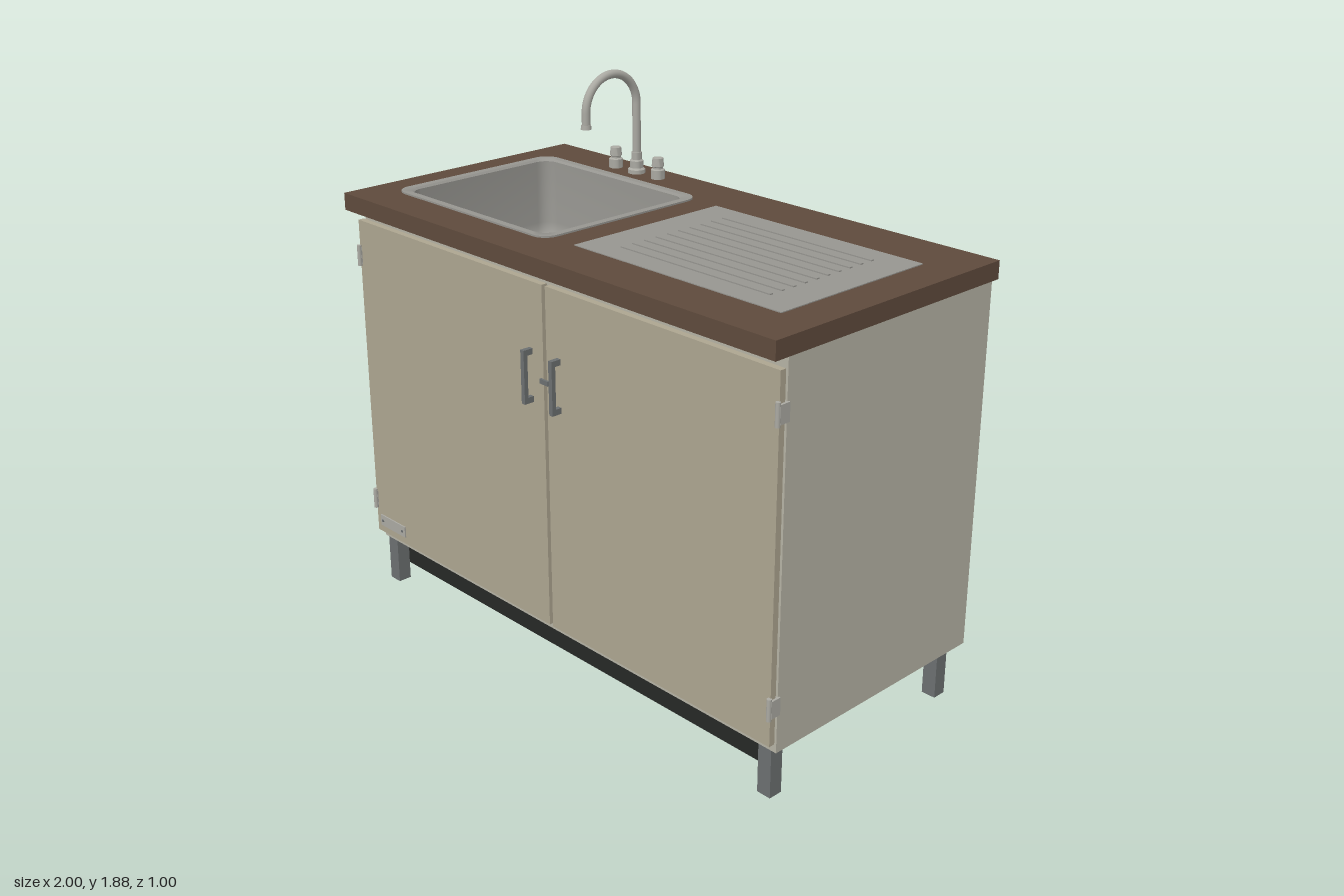
import * as THREE from 'three';
import { toCreasedNormals } from 'three/addons/utils/BufferGeometryUtils.js';

const mat = (color, side = THREE.FrontSide) => new THREE.MeshStandardMaterial({ color, side });

export function createModel() {
  const model = new THREE.Group();
  const wood = mat(0x5e4a3c), panel = mat(0xb5b2a4), doorMat = mat(0xada590);
  const steel = mat(0x969590, THREE.DoubleSide), chrome = mat(0xaaa9a2), pipeMat = mat(0xb8b6aa);
  const legMat = mat(0x6b6f70), dark = mat(0x262826);

  const add = (name, geo, material, x = 0, y = 0, z = 0, parent = model) => {
    const m = new THREE.Mesh(geo, material);
    m.name = name;
    m.position.set(x, y, z);
    parent.add(m);
    return m;
  };
  // Box given by its extents
  const box = (name, material, x0, x1, y0, y1, z0, z1, parent) =>
    add(name, new THREE.BoxGeometry(x1 - x0, y1 - y0, z1 - z0), material,
      (x0 + x1) / 2, (y0 + y1) / 2, (z0 + z1) / 2, parent);
  const cyl = (name, material, r0, r1, h, x, y, z, parent) =>
    add(name, new THREE.CylinderGeometry(r0, r1, h, 24), material, x, y, z, parent);
  // Tube through corner points in the x plane given, each corner rounded
  const pipe = (name, material, x, pts, radius, bend, parent) => {
    const v = pts.map(([y, z]) => new THREE.Vector3(x, y, z));
    const path = new THREE.CurvePath();
    let last = v[0];
    const lineTo = (p) => {
      if (last.distanceTo(p) > 1e-4) path.add(new THREE.LineCurve3(last, p));
      last = p;
    };
    for (let i = 1; i < v.length - 1; i++) {
      const din = v[i].clone().sub(v[i - 1]).normalize(), dout = v[i + 1].clone().sub(v[i]).normalize();
      const a = v[i].clone().addScaledVector(din, -bend), b = v[i].clone().addScaledVector(dout, bend);
      lineTo(a);
      path.add(new THREE.CubicBezierCurve3(a, a.clone().addScaledVector(din, bend * 0.552),
        b.clone().addScaledVector(dout, -bend * 0.552), b));
      last = b;
    }
    lineTo(v[v.length - 1]);
    return add(name, new THREE.TubeGeometry(path, 120, radius, 16), material, 0, 0, 0, parent);
  };

  // Worktop with openings for the basin and the drainer
  const rect = (P, x0, x1, z0, z1) => {
    const s = new P();
    s.moveTo(x0, -z0); s.lineTo(x0, -z1); s.lineTo(x1, -z1); s.lineTo(x1, -z0); s.closePath();
    return s;
  };
  const top = rect(THREE.Shape, -1, 1, -0.5, 0.5);
  top.holes.push(rect(THREE.Path, -0.875, -0.13, -0.31, 0.34), rect(THREE.Path, 0.01, 0.855, -0.29, 0.32));
  const topGeo = new THREE.ExtrudeGeometry(top, { depth: 0.06, bevelEnabled: false });
  topGeo.rotateX(-Math.PI / 2);
  add('worktop', topGeo, wood, 0, 1.44, 0);

  // Cabinet carcass, open at the lower back
  for (const s of [-1, 1]) {
    const x = s * 0.975;
    box('sidePanel', panel, x - 0.01, x + 0.01, 0.17, 1.44, -0.49, 0.43);
  }
  box('floorPanel', panel, -0.965, 0.965, 0.17, 0.195, -0.49, 0.43);
  box('frontRail', panel, -0.965, 0.965, 1.39, 1.44, 0.405, 0.43);
  box('backPanel', wood, -0.965, 0.965, 1.03, 1.44, -0.488, -0.47);
  box('kickPlate', dark, -0.94, 0.94, 0.05, 0.17, 0.35, 0.365);
  for (const x of [-0.94, 0.94]) for (const z of [-0.4, 0.405])
    box('leg', legMat, x - 0.026, x + 0.026, 0, 0.17, z - 0.025, z + 0.025);

  // Doors with bow handles and hinges
  for (const s of [-1, 1]) {
    const door = new THREE.Group();
    door.name = s > 0 ? 'leftDoor' : 'rightDoor';
    model.add(door);
    const x = s * 0.496, hx = s * 0.067, kx = s * 0.983;
    box('doorPanel', doorMat, x - 0.488, x + 0.488, 0.205, 1.4, 0.438, 0.46, door);
    box('handleBar', legMat, hx - 0.008, hx + 0.008, 0.995, 1.178, 0.482, 0.497, door);
    for (const y of [1.005, 1.168])
      box('handlePost', legMat, hx - 0.008, hx + 0.008, y - 0.01, y + 0.01, 0.458, 0.485, door);
    for (const y of [0.335, 1.272]) {
      cyl('hingeKnuckle', chrome, 0.008, 0.008, 0.075, kx, y, 0.465, door);
      box('hingeLeaf', chrome, kx - 0.011, kx + 0.009, y - 0.03, y + 0.03, 0.425, 0.463, door);
    }
  }
  box('latch', legMat, -0.02, 0.02, 1.072, 1.088, 0.46, 0.468);
  box('plainPlate', chrome, -0.96, -0.812, 0.233, 0.275, 0.46, 0.465);
  for (const x of [-0.945, -0.827]) cyl('plateScrew', legMat, 0.005, 0.005, 0.004, x, 0.254, 0.466).rotation.x = Math.PI / 2;

  // Basin lofted through rounded rectangles: half width, half depth, corner radius, height
  const sections = [
    [0.395, 0.345, 0.055, 1.5], [0.395, 0.345, 0.055, 1.506], [0.368, 0.32, 0.05, 1.506],
    [0.361, 0.313, 0.05, 1.499], [0.357, 0.309, 0.05, 1.27], [0.353, 0.305, 0.05, 1.245],
    [0.342, 0.294, 0.045, 1.228], [0.322, 0.274, 0.04, 1.22], [0.045, 0.045, 0.045, 1.215],
  ];
  const N = 32, pos = [], idx = [];
  sections.forEach(([w, d, r, y], j) => {
    for (let i = 0; i < N; i++) {
      const q = Math.floor(i / 8), a = (q + (i % 8) / 7) * Math.PI / 2;
      const sx = q === 0 || q === 3 ? 1 : -1, sz = q < 2 ? 1 : -1;
      pos.push(sx * (w - r) + r * Math.cos(a), y, sz * (d - r) + r * Math.sin(a));
      if (j < sections.length - 1) {
        const a0 = j * N + i, b0 = j * N + (i + 1) % N;
        idx.push(a0, a0 + N, b0, b0, a0 + N, b0 + N);
      }
    }
  });
  const basinGeo = new THREE.BufferGeometry();
  basinGeo.setAttribute('position', new THREE.Float32BufferAttribute(pos, 3));
  basinGeo.setIndex(idx);
  add('basin', toCreasedNormals(basinGeo, 0.7), steel, -0.503, 0, 0.015);

  // Drain strainer with small holes
  const drain = new THREE.Group();
  drain.name = 'drain';
  drain.position.set(-0.503, 1.217, 0.015);
  model.add(drain);
  add('drainRing', new THREE.TorusGeometry(0.04, 0.007, 8, 32), chrome, 0, 0, 0, drain).rotation.x = Math.PI / 2;
  cyl('strainer', legMat, 0.04, 0.04, 0.006, 0, -0.001, 0, drain);
  for (let i = 0; i < 6; i++)
    cyl('strainerHole', dark, 0.006, 0.006, 0.002, 0.02 * Math.cos(i * Math.PI / 3), 0.002, 0.02 * Math.sin(i * Math.PI / 3), drain);

  // Ribbed drainer
  box('drainer', steel, 0, 0.865, 1.497, 1.503, -0.3, 0.33);
  for (let i = 0; i < 10; i++) {
    const z = -0.21 + i * 0.05;
    box('drainerRib', steel, 0.12, 0.745, 1.503, 1.507, z - 0.006, z + 0.006);
  }

  // Swan-neck tap with two valves
  const tap = new THREE.Group();
  tap.name = 'tap';
  model.add(tap);
  pipe('spout', chrome, -0.503, [[1.55, -0.41], [1.87, -0.41], [1.87, -0.172], [1.7, -0.172]], 0.015, 0.119, tap);
  cyl('spoutTip', chrome, 0.017, 0.019, 0.015, -0.503, 1.704, -0.172, tap);
  const lathe = (name, pts, x) => add(name,
    toCreasedNormals(new THREE.LatheGeometry(pts.map(([r, y]) => new THREE.Vector2(r, y)), 24), 0.6), chrome, x, 1.5, -0.41, tap);
  lathe('spoutBase', [[0.031, 0], [0.031, 0.014], [0.024, 0.02], [0.024, 0.045], [0.019, 0.05], [0.019, 0.076], [0, 0.078]], -0.503);
  for (const x of [-0.612, -0.394])
    lathe('tapValve', [[0.025, 0], [0.025, 0.032], [0.018, 0.036], [0.018, 0.042], [0.022, 0.045], [0.019, 0.074], [0, 0.077]], x);

  // Water supply pipes
  for (const x of [-0.503, -0.6]) {
    pipe('supplyPipe', pipeMat, x, [[1.45, -0.41], [0.868, -0.41], [0.868, -0.495]], 0.012, 0.02);
    cyl('supplyFlange', pipeMat, 0.022, 0.022, 0.014, x, 0.868, -0.492).rotation.x = Math.PI / 2;
  }
  cyl('supplyBridge', pipeMat, 0.009, 0.009, 0.097, -0.5515, 0.9, -0.41).rotation.z = Math.PI / 2;

  // Waste pipe with trap, leaving at the back
  pipe('wastePipe', pipeMat, -0.503,
    [[1.215, 0.015], [0.64, 0.015], [0.64, -0.165], [0.84, -0.165], [0.84, -0.28], [0.505, -0.28], [0.505, -0.49]], 0.03, 0.055);
  cyl('wasteCollar', pipeMat, 0.038, 0.038, 0.03, -0.503, 1.2, 0.015);
  cyl('wasteFlange', pipeMat, 0.037, 0.037, 0.02, -0.503, 0.505, -0.488).rotation.x = Math.PI / 2;

  return model;
}
